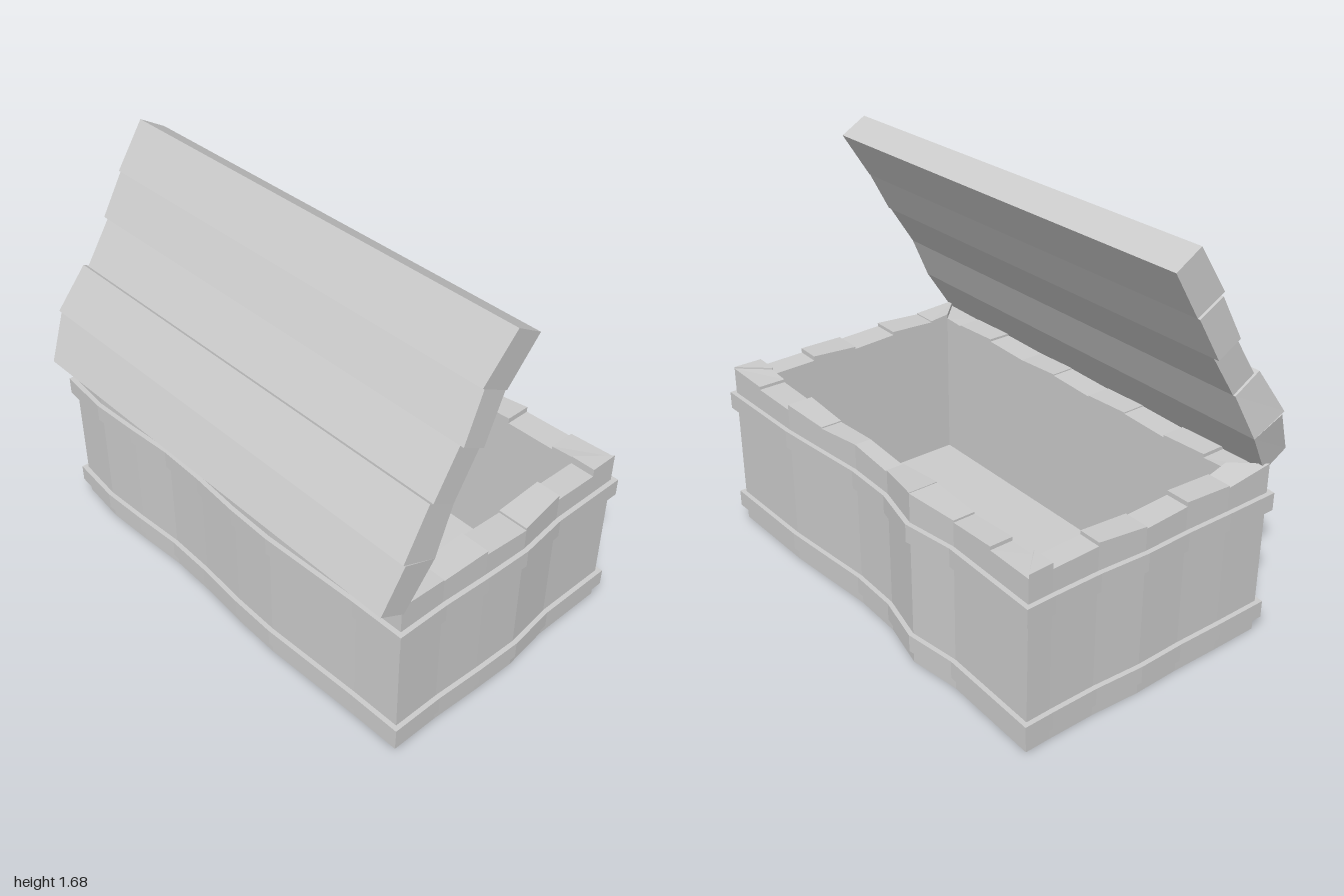
import * as THREE from 'three';

const wood = new THREE.MeshStandardMaterial({ color: 0xcccccc, flatShading: true });

// Inner faces of the box walls
const IN = { x0: -0.42, x1: 0.495, z0: -0.87, z1: 0.85 };

// Walls in order round the box: outer seam points [x, z], plank tops [start, end], outward normal
const walls = [
  { name: 'frontWall', n: [0, 1],
    pts: [[-0.535, 0.965], [-0.33, 0.965], [-0.12, 0.975], [0.08, 0.98], [0.29, 0.955], [0.49, 0.955], [0.615, 0.955]],
    tops: [[0.74, 0.73], [0.725, 0.735], [0.72, 0.71], [0.72, 0.735], [0.715, 0.71], [0.742, 0.742]] },
  { name: 'openingSideWall', n: [1, 0],
    pts: [[0.615, 0.955], [0.61, 0.75], [0.605, 0.53], [0.585, 0.31], [0.565, 0.1], [0.57, -0.12], [0.617, -0.33],
      [0.585, -0.55], [0.59, -0.76], [0.595, -0.967]],
    tops: [[0.735, 0.728], [0.715, 0.712], [0.735, 0.72], [0.715, 0.73], [0.73, 0.715], [0.722, 0.745],
      [0.742, 0.728], [0.72, 0.735], [0.72, 0.722]] },
  { name: 'backWall', n: [0, -1],
    pts: [[0.595, -0.967], [0.49, -0.965], [0.29, -0.965], [0.08, -0.977], [-0.12, -0.972], [-0.33, -0.975], [-0.54, -0.975]],
    tops: [[0.738, 0.74], [0.715, 0.72], [0.735, 0.72], [0.712, 0.72], [0.738, 0.728], [0.72, 0.745]] },
  { name: 'hingeSideWall', n: [-1, 0],
    pts: [[-0.54, -0.975], [-0.56, -0.76], [-0.55, -0.55], [-0.535, -0.33], [-0.54, -0.12], [-0.555, 0.1], [-0.56, 0.31],
      [-0.55, 0.53], [-0.54, 0.75], [-0.535, 0.965]],
    tops: [[0.72, 0.715], [0.73, 0.72], [0.71, 0.72], [0.725, 0.715], [0.71, 0.72], [0.725, 0.712],
      [0.712, 0.72], [0.73, 0.72], [0.715, 0.72]] },
];

// Six-sided block between two loops of four corners, faces turned outward
function block(name, p, q) {
  const v = a => new THREE.Vector3(...a);
  const normal = v(p[1]).sub(v(p[0])).cross(v(p[3]).sub(v(p[0])));
  if (normal.dot(v(q[0]).sub(v(p[0]))) < 0) [p, q] = [q, p];
  const pos = [];
  const quad = (a, b, c, d) => pos.push(...a, ...b, ...c, ...a, ...c, ...d);
  quad(...q);
  quad(p[3], p[2], p[1], p[0]);
  for (let i = 0; i < 4; i++) {
    const j = (i + 1) % 4;
    quad(p[i], p[j], q[j], q[i]);
  }
  const geo = new THREE.BufferGeometry();
  geo.setAttribute('position', new THREE.Float32BufferAttribute(pos, 3));
  geo.computeVertexNormals();
  const mesh = new THREE.Mesh(geo, wood);
  mesh.name = name;
  return mesh;
}

// Matching point on the inner face, mitred at the corners
function innerPoint([x, z], [nx, nz]) {
  const clamp = THREE.MathUtils.clamp;
  if (nx) return [nx > 0 ? IN.x1 : IN.x0, clamp(z, IN.z0, IN.z1)];
  return [clamp(x, IN.x0, IN.x1), nz > 0 ? IN.z1 : IN.z0];
}

function buildWall({ name, n, pts, tops }) {
  const wall = new THREE.Group();
  wall.name = name;
  tops.forEach(([ha, hb], i) => {
    const a = pts[i], b = pts[i + 1];
    const plan = [a, b, innerPoint(b, n), innerPoint(a, n)];
    const heights = [ha, hb, hb, ha];
    wall.add(block('plank', plan.map(([x, z]) => [x, 0, z]), plan.map(([x, z], k) => [x, heights[k], z])));
  });
  return wall;
}

// Strap that follows the wavy outside of the walls
function buildBand(name, y, height) {
  const out = 0.02;
  const ring = walls.flatMap(({ n, pts }, w) => pts.slice(0, -1).map(([x, z], i) => {
    const prev = i === 0 ? walls[(w + 3) % 4].n : [0, 0];
    return new THREE.Vector2(x + out * (n[0] + prev[0]), -(z + out * (n[1] + prev[1])));
  }));
  const shape = new THREE.Shape(ring);
  const m = 0.03;
  shape.holes.push(new THREE.Path([
    [IN.x0 - m, -IN.z0 + m], [IN.x1 + m, -IN.z0 + m], [IN.x1 + m, -IN.z1 - m], [IN.x0 - m, -IN.z1 - m],
  ].map(([x, yy]) => new THREE.Vector2(x, yy))));
  const geo = new THREE.ExtrudeGeometry(shape, { depth: height, bevelEnabled: false });
  geo.rotateX(-Math.PI / 2).translate(0, y, 0);
  const band = new THREE.Mesh(geo, wood);
  band.name = name;
  return band;
}

// Lid planks: inner edge points, outer edge points, and z ends at both edges
function buildLid() {
  const lid = new THREE.Group();
  lid.name = 'lid';
  const inner = [[-0.53, 0.71], [-0.41, 0.9], [-0.325, 1.085], [-0.21, 1.26], [-0.11, 1.435], [0, 1.62]];
  const outer = [
    [[-0.64, 0.77], [-0.55, 0.955]], [[-0.56, 0.965], [-0.44, 1.15]], [[-0.425, 1.14], [-0.31, 1.315]],
    [[-0.31, 1.315], [-0.215, 1.49]], [[-0.23, 1.5], [-0.11, 1.685]],
  ];
  const front = [[0.97, 0.985], [0.985, 0.975], [0.975, 0.97], [0.985, 0.97], [0.975, 0.998]];
  const back = [[-0.96, -0.998], [-0.998, -0.965], [-0.955, -0.955], [-0.978, -0.97], [-0.96, -0.955]];
  outer.forEach(([a, b], i) => {
    const section = [inner[i], inner[i + 1], b, a];
    const side = ([s, e]) => section.map(([x, y], k) => [x, y, k === 0 || k === 3 ? s : e]);
    lid.add(block('lidPlank', side(back[i]), side(front[i])));
  });
  return lid;
}

export function createModel() {
  const chest = new THREE.Group();
  chest.name = 'chest';
  walls.forEach(w => chest.add(buildWall(w)));

  // Floor
  const floor = new THREE.Mesh(new THREE.BoxGeometry(IN.x1 - IN.x0 + 0.02, 0.05, IN.z1 - IN.z0 + 0.02), wood);
  floor.name = 'floor';
  floor.position.set((IN.x0 + IN.x1) / 2, 0.03, (IN.z0 + IN.z1) / 2);
  chest.add(floor);

  // Straps and lid
  chest.add(buildBand('lowerBand', 0.06, 0.073), buildBand('upperBand', 0.547, 0.075), buildLid());
  return chest;
}
